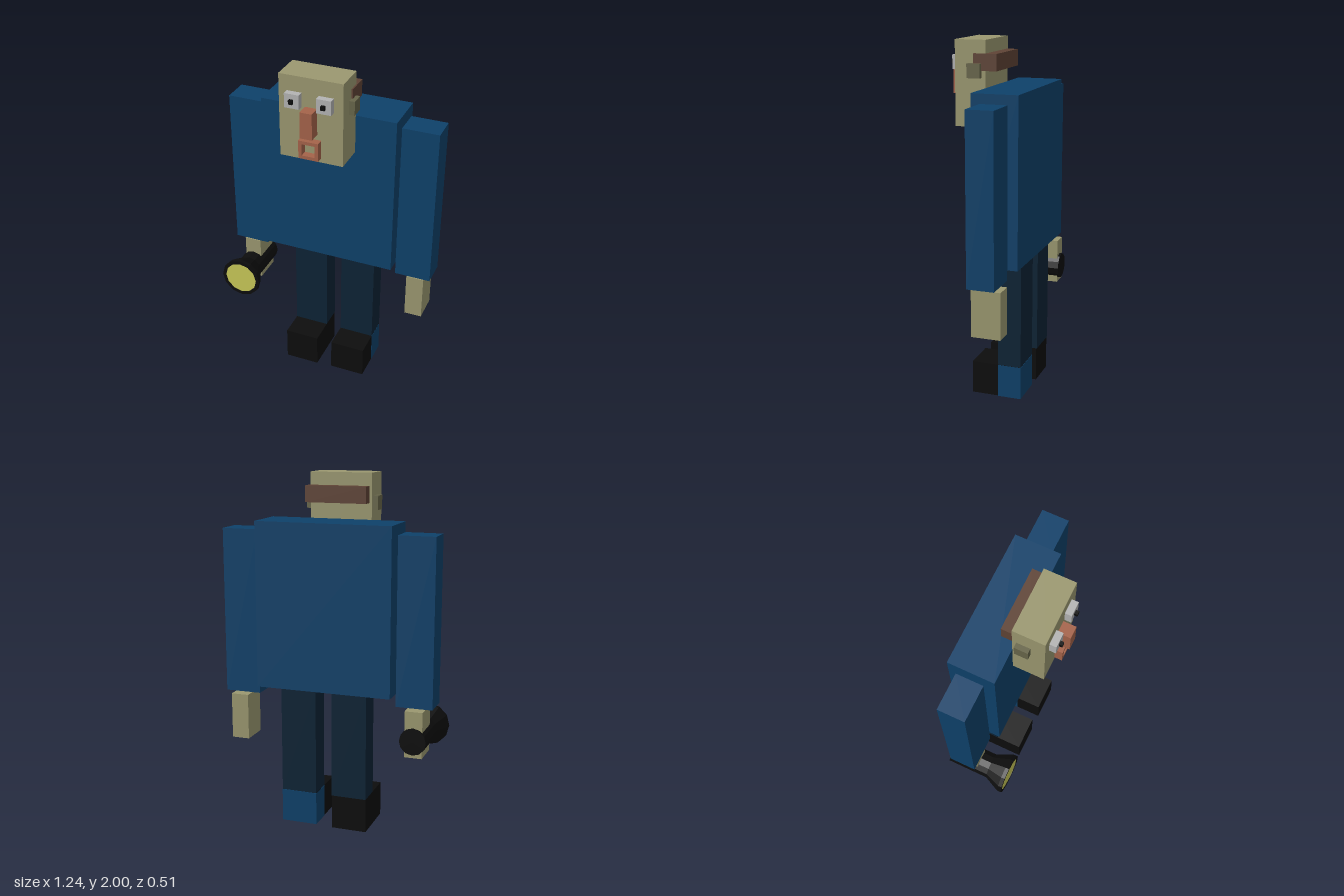
import * as THREE from 'three';

const mat = (color) => new THREE.MeshStandardMaterial({ color, flatShading: true });
const COAT = mat(0x0e416a), TROUSERS = mat(0x0d2335), BLACK = mat(0x0d0d0d), SKIN = mat(0x9b9870);
const EAR = mat(0x68664a), HAIR = mat(0x5f4335), LIP = mat(0xa5634a), WHITE = mat(0xb4b4b4), GLOW = mat(0xc8c858);

export function createModel() {
  const model = new THREE.Group();

  const add = (parent, name, geometry, material) => {
    const mesh = new THREE.Mesh(geometry, material);
    mesh.name = name;
    parent.add(mesh);
    return mesh;
  };
  // Box from its min/max extents on each axis
  const box = (parent, name, material, [x0, x1], [y0, y1], [z0, z1]) => {
    const mesh = add(parent, name, new THREE.BoxGeometry(x1 - x0, y1 - y0, z1 - z0), material);
    mesh.position.set((x0 + x1) / 2, (y0 + y1) / 2, (z0 + z1) / 2);
    return mesh;
  };
  const group = (name) => {
    const g = new THREE.Group();
    g.name = name;
    model.add(g);
    return g;
  };

  box(model, 'torso', COAT, [-0.377, 0.403], [0.81, 1.745], [-0.257, 0.004]);

  // Arms and hands, with a small gap at the cuff
  const limbs = [
    { side: 'right', arm: [-0.602, -0.395], hand: [-0.553, -0.453], leg: [-0.235, -0.032], sole: 0.003 },
    { side: 'left', arm: [0.414, 0.621], hand: [0.48, 0.582], leg: [0.062, 0.268], sole: 0.012 },
  ];
  for (const { side, arm, hand, leg, sole } of limbs) {
    const armGroup = group(side + 'Arm');
    box(armGroup, side + 'Sleeve', COAT, arm, [0.756, 1.693], [-0.203, -0.05]);
    box(armGroup, side + 'Hand', SKIN, hand, [0.48, 0.743], [-0.225, -0.06]);
    const legGroup = group(side + 'Leg');
    box(legGroup, side + 'Trouser', TROUSERS, leg, [0.2, 0.81], [-0.232, -0.098]);
    box(legGroup, side + 'Shoe', BLACK, leg, [sole, 0.2], [-0.228, 0.055]);
    // Blue heel block on the left foot only
    if (side === 'left') {
      box(legGroup, 'leftHeel', COAT, [leg[0] - 0.001, leg[1] + 0.001], [sole - 0.002, 0.199], [-0.233, -0.098]);
    }
  }

  // Head and face
  const head = group('head');
  box(head, 'skull', SKIN, [-0.183, 0.175], [1.53, 2], [0.007, 0.183]);
  box(head, 'hair', HAIR, [-0.17, 0.183], [1.836, 1.928], [-0.058, 0.074]);
  box(head, 'rightEar', EAR, [-0.212, -0.18], [1.797, 1.875], [0.03, 0.105]);
  box(head, 'leftEar', EAR, [0.17, 0.206], [1.797, 1.875], [0.03, 0.105]);
  for (const [side, x] of [['right', -0.096], ['left', 0.082]]) {
    box(head, side + 'Eye', WHITE, [x - 0.041, x + 0.041], [1.833, 1.913], [0.18, 0.22]);
    box(head, side + 'Pupil', BLACK, [x - 0.011, x + 0.011], [1.862, 1.884], [0.218, 0.238]);
  }
  box(head, 'nose', LIP, [-0.037, 0.031], [1.69, 1.838], [0.18, 0.253]);

  // Mouth: square ring around the face
  const rect = (Kind, w, h) => new Kind([
    new THREE.Vector2(-w, -h), new THREE.Vector2(w, -h), new THREE.Vector2(w, h), new THREE.Vector2(-w, h),
  ]);
  const lips = rect(THREE.Shape, 0.056, 0.052);
  lips.holes.push(rect(THREE.Path, 0.037, 0.033));
  add(head, 'mouth', new THREE.ExtrudeGeometry(lips, { depth: 0.046, bevelEnabled: false }), LIP)
    .position.set(-0.003, 1.608, 0.18);

  // Flashlight pointing forward through the right hand
  const torch = group('flashlight');
  torch.position.set(-0.502, 0.575, 0);
  torch.rotation.x = Math.PI / 2;
  const profile = [[0, -0.238], [0.076, -0.238], [0.076, 0.005], [0.121, 0.1], [0.121, 0.122], [0.1, 0.122], [0.1, 0.118]];
  add(torch, 'flashlightBody', new THREE.LatheGeometry(profile.map(([r, y]) => new THREE.Vector2(r, y)), 12), BLACK);
  const lens = add(torch, 'flashlightLens', new THREE.CylinderGeometry(0.102, 0.102, 0.01, 12), GLOW);
  lens.position.y = 0.115;

  return model;
}
